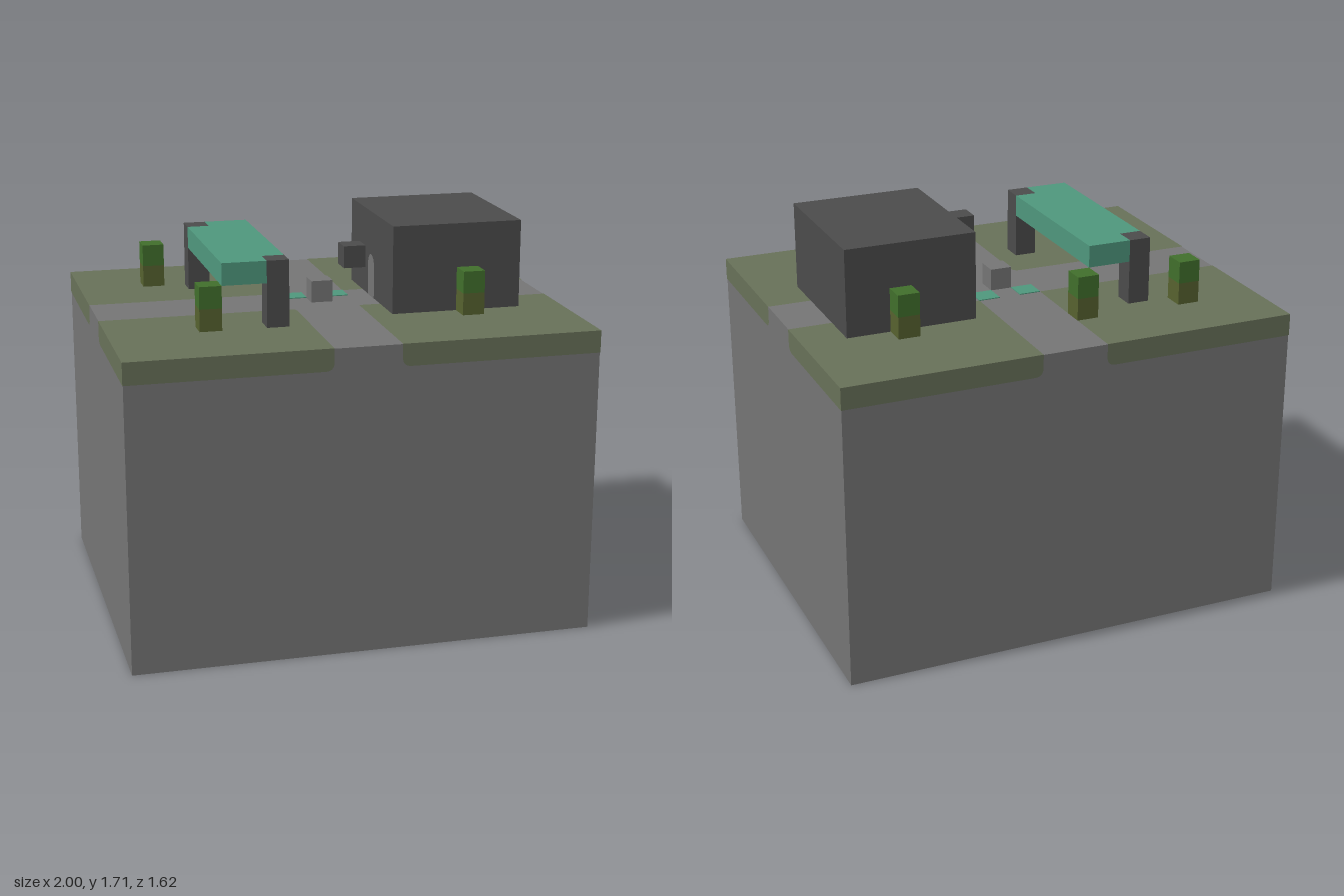
import * as THREE from 'three';

// One block is 1/21 of the island's width; all sizes below are in blocks.
const U = 2 / 21;
const GROUND = 14, HALF_X = 10.5, HALF_Z = 8.5, PATH = 1.5;
const LIFT = 0.02; // offset of painted plates

const material = (name, color) => new THREE.MeshStandardMaterial({ name, color });

export function createModel() {
  const stone = material('stone grey', 0x747474);
  const grass = material('mossy grass', 0x677058);
  const dark = material('dark stone', 0x4b4b4b);
  const teal = material('teal', 0x4e967c);
  const leaf = material('leaf green', 0x406e2b);
  const stem = material('olive stem', 0x56612f);

  const group = new THREE.Group();
  group.name = 'blockIsland';

  const add = (name, geometry, mat, parent = group) => {
    const mesh = new THREE.Mesh(geometry, mat);
    mesh.name = name;
    parent.add(mesh);
    return mesh;
  };
  // Box standing on y, centred on x and z
  const box = (name, mat, w, h, d, x, y, z, parent) => {
    const mesh = add(name, new THREE.BoxGeometry(w, h, d), mat, parent);
    mesh.position.set(x, y + h / 2, z);
    return mesh;
  };

  // Stone block, inset slightly so the turf plates end flush
  box('stoneBase', stone, 2 * HALF_X - 2 * LIFT, GROUND - LIFT, 2 * HALF_Z - 2 * LIFT, 0, 0, 0);

  // Four turf fields between the crossing paths
  for (const sx of [-1, 1]) {
    for (const sz of [-1, 1]) {
      const r = sx < 0 && sz > 0 ? 0.35 : 0.02;
      const s = new THREE.Shape();
      s.moveTo(sx * HALF_X, -sz * HALF_Z);
      s.lineTo(sx * PATH, -sz * HALF_Z);
      s.lineTo(sx * PATH, -sz * (PATH + r));
      s.quadraticCurveTo(sx * PATH, -sz * PATH, sx * (PATH + r), -sz * PATH);
      s.lineTo(sx * HALF_X, -sz * PATH);
      const field = add('turfField', new THREE.ShapeGeometry(s), grass);
      field.rotation.x = -Math.PI / 2;
      field.position.y = GROUND;
    }
  }

  // Turf edge hanging one block down each side, rounded beside the path
  const edgeShape = (sign, half) => {
    const r = 0.4;
    const s = new THREE.Shape();
    s.moveTo(sign * half, 0);
    s.lineTo(sign * PATH, 0);
    s.lineTo(sign * PATH, r - 1);
    s.quadraticCurveTo(sign * PATH, -1, sign * (PATH + r), -1);
    s.lineTo(sign * half, -1);
    return s;
  };
  for (let side = 0; side < 4; side++) {
    const [half, out] = side % 2 ? [HALF_Z, HALF_X] : [HALF_X, HALF_Z];
    for (const sign of [-1, 1]) {
      const g = new THREE.ShapeGeometry(edgeShape(sign, half));
      g.translate(0, GROUND, out);
      g.rotateY(side * Math.PI / 2);
      add('turfEdge', g, grass);
    }
  }

  // House with an arched doorway facing the crossing
  box('house', dark, 6, 4, 7, 5.5, GROUND, 0);
  const arch = new THREE.Shape();
  arch.moveTo(-0.5, 0);
  arch.lineTo(0.5, 0);
  arch.lineTo(0.5, 1.5);
  arch.absarc(0, 1.5, 0.5, 0, Math.PI);
  const door = add('houseDoor', new THREE.ShapeGeometry(arch, 10), stone);
  door.rotation.y = -Math.PI / 2;
  door.position.set(2.5 - LIFT, GROUND, 0);

  // Raised canopy, notched around its two corner posts
  const outline = [[-5.5, -4.5], [-3.5, -4.5], [-3.5, -3.5], [-2.5, -3.5],
    [-2.5, 4.5], [-4.5, 4.5], [-4.5, 3.5], [-5.5, 3.5]];
  const roof = new THREE.ExtrudeGeometry(
    new THREE.Shape(outline.map(([x, y]) => new THREE.Vector2(x, y))),
    { depth: 1, bevelEnabled: false });
  roof.rotateX(-Math.PI / 2);
  add('canopyRoof', roof, teal).position.y = GROUND + 2;
  box('canopyBackPost', dark, 1, 3, 1, -5, GROUND, -4);
  box('canopyFrontPost', dark, 1, 3, 1, -3, GROUND, 4);

  // Shrubs: olive stem block under a leaf block
  for (const [x, z] of [[-7, -5], [-2, -5], [-6, 4], [6, -4], [6, 4]]) {
    const shrub = new THREE.Group();
    shrub.name = 'shrub';
    shrub.position.set(x, GROUND, z);
    box('shrubStem', stem, 1, 1, 1, 0, 0, 0, shrub);
    box('shrubLeaves', leaf, 1, 1, 1, 0, 1, 0, shrub);
    group.add(shrub);
  }

  // Crossing: centre stone, floating block and two teal tiles
  box('centreStone', stone, 1, 1, 1, 0, GROUND, 0);
  box('floatingBlock', dark, 1, 1, 1, 1, GROUND + 2, 2);
  for (const x of [-1, 1]) box('tealTile', teal, 1, 0.04, 1, x, GROUND - LIFT, -1);

  group.scale.setScalar(U);
  return group;
}
